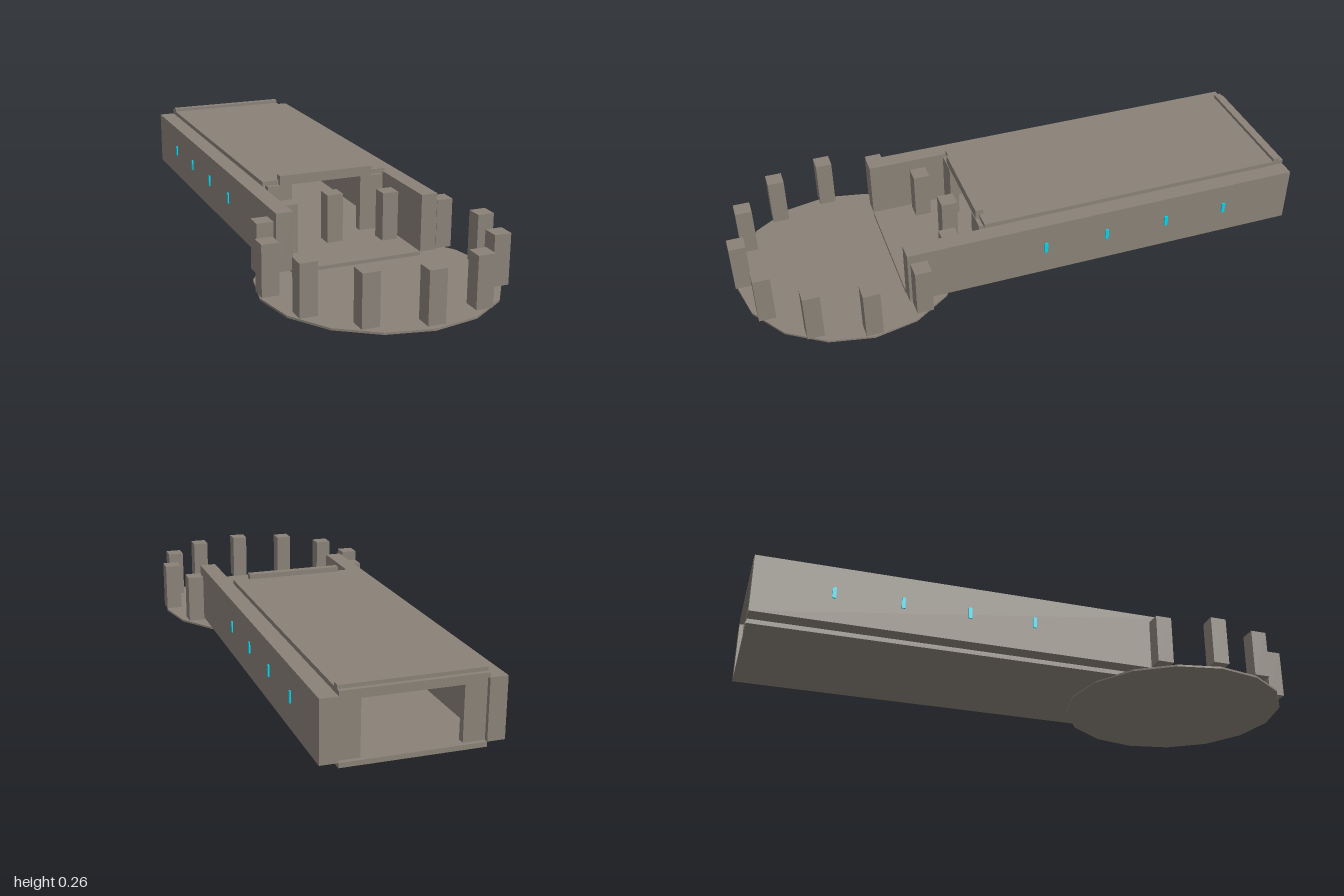
import * as THREE from 'three';

export function createModel() {
  const model = new THREE.Group();
  const stone = new THREE.MeshStandardMaterial({ color: 0x8a8278, flatShading: true });
  const glow = new THREE.MeshStandardMaterial({ color: 0x00d8f0 });

  const add = (name, geometry, x, y, z, material = stone) => {
    const mesh = new THREE.Mesh(geometry, material);
    mesh.name = name;
    mesh.position.set(x, y, z);
    model.add(mesh);
  };
  // Box given by its limits on each axis
  const box = (name, [x0, x1], [y0, y1], [z0, z1], material) =>
    add(name, new THREE.BoxGeometry(x1 - x0, y1 - y0, z1 - z0),
      (x0 + x1) / 2, (y0 + y1) / 2, (z0 + z1) / 2, material);
  const mirrored = (name, [x0, x1], y, z, material) => {
    box(name + 'Left', [x0, x1], y, z, material);
    box(name + 'Right', [-x1, -x0], y, z, material);
  };

  // Round plaza with a ring of square pillars
  const centre = 0.595, ring = 0.375, width = 0.058;
  add('plazaFloor', new THREE.CylinderGeometry(0.4, 0.4, 0.007, 16), 0, 0.0035, centre);
  for (let i = 0; i < 12; i++) {
    const a = (i * Math.PI) / 6;
    add('pillar' + (i + 1), new THREE.BoxGeometry(width, 0.173, width),
      Math.sin(a) * ring, 0.1065, centre + Math.cos(a) * ring);
  }

  // Corridor floor, walls and roof
  box('corridorFloor', [-0.232, 0.232], [0.004, 0.02], [-1, 0.445]);
  mirrored('wall', [0.232, 0.29], [0.02, 0.222], [-1, 0.445]);
  box('roof', [-0.232, 0.232], [0.222, 0.238], [-1, 0.155]);

  // Front doorway
  mirrored('frontJamb', [0.13, 0.217], [0.02, 0.222], [0.138, 0.17]);
  box('frontLintel', [-0.173, 0.173], [0.222, 0.256], [0.14, 0.168]);

  // Rear doorway
  mirrored('rearJamb', [0.16, 0.232], [0.02, 0.222], [-0.985, -0.96]);
  box('rearLintel', [-0.232, 0.232], [0.203, 0.25], [-0.985, -0.96]);

  // Light strips set through the walls
  for (let i = 0; i < 4; i++) {
    const z = -0.05 - i * 0.229;
    mirrored('lightStrip' + (i + 1), [0.225, 0.295], [0.107, 0.146], [z - 0.006, z + 0.006], glow);
  }
  return model;
}
